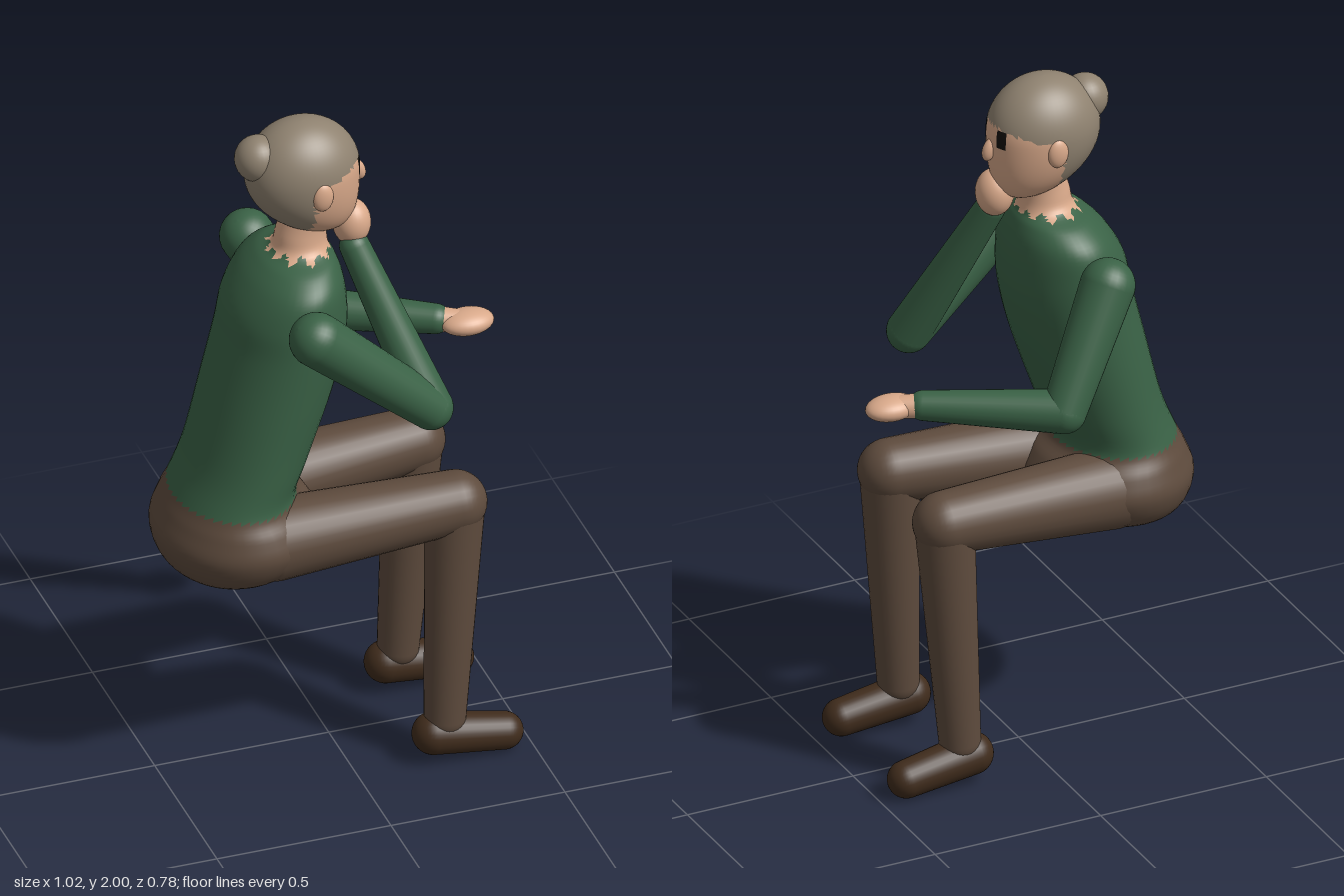
import * as THREE from 'three';

const MID = 0.03; // z of the body's own centre plane
const V = (x, y, z) => new THREE.Vector3(x, y, z);
const mat = (color) => new THREE.MeshStandardMaterial({ color });

export function createModel() {
  const model = new THREE.Group();
  const mats = {
    sweater: mat(0x3a6246), trousers: mat(0x5e4b3d), skin: mat(0xd9a98a),
    hair: mat(0x8f8270), shoe: mat(0x402c1c), eyes: mat(0x14100c),
  };

  const add = (name, geometry, material, parent = model) => {
    const mesh = new THREE.Mesh(geometry, material);
    mesh.name = name;
    parent.add(mesh);
    return mesh;
  };

  const ellipsoid = (name, material, c, r, parent) => {
    const mesh = add(name, new THREE.SphereGeometry(1, 28, 20), material, parent);
    mesh.position.copy(c);
    mesh.scale.copy(r);
    return mesh;
  };

  // Tapered limb with round ends, from a to b
  const limb = (name, material, a, b, ra, rb, parent) => {
    const len = a.distanceTo(b), pts = [], n = 10;
    for (let i = 0; i <= n; i++) {
      const t = (i / n) * Math.PI / 2;
      pts.push(new THREE.Vector2(ra * Math.sin(t), -ra * Math.cos(t)));
    }
    for (let i = 0; i <= n; i++) {
      const t = (i / n) * Math.PI / 2;
      pts.push(new THREE.Vector2(rb * Math.cos(t), len + rb * Math.sin(t)));
    }
    const mesh = add(name, new THREE.LatheGeometry(pts, 28), material, parent);
    mesh.position.copy(a);
    mesh.quaternion.setFromUnitVectors(V(0, 1, 0), b.clone().sub(a).normalize());
    return mesh;
  };

  // Divides one smooth surface into named colour zones, triangle by triangle
  const zones = (geometry, classify, names) => {
    const pos = geometry.attributes.position, idx = geometry.index.array, lists = {};
    for (let i = 0; i < idx.length; i += 3) {
      const c = V(0, 0, 0);
      for (let k = 0; k < 3; k++) c.add(V(0, 0, 0).fromBufferAttribute(pos, idx[i + k]));
      (lists[classify(c.divideScalar(3))] ??= []).push(idx[i], idx[i + 1], idx[i + 2]);
    }
    for (const key in lists) {
      const part = geometry.clone();
      part.setIndex(lists[key]);
      add(names[key], part, mats[key]);
    }
  };

  // Hips, torso and neck: elliptical sections [y, centre x, radius x, radius z]
  const sections = [
    [0.61, -0.32, 0.002, 0.002], [0.625, -0.315, 0.09, 0.11], [0.68, -0.295, 0.187, 0.22],
    [0.76, -0.28, 0.23, 0.265], [0.83, -0.282, 0.205, 0.25], [0.89, -0.29, 0.168, 0.22],
    [1.0, -0.25, 0.165, 0.214], [1.2, -0.19, 0.175, 0.216], [1.35, -0.153, 0.174, 0.218],
    [1.45, -0.14, 0.165, 0.218], [1.53, -0.123, 0.137, 0.205], [1.58, -0.108, 0.106, 0.155],
    [1.61, -0.095, 0.078, 0.085], [1.66, -0.09, 0.07, 0.068], [1.74, -0.07, 0.066, 0.066],
  ];
  const spine = new THREE.CatmullRomCurve3(sections.map((s) => V(s[1], s[0], s[2])), false, 'catmullrom');
  const width = new THREE.CatmullRomCurve3(sections.map((s) => V(s[3], 0, 0)), false, 'catmullrom');
  const rings = 84, sides = 44, verts = [], faces = [];
  for (let j = 0; j <= rings; j++) {
    const s = spine.getPoint(j / rings), rz = width.getPoint(j / rings).x;
    for (let i = 0; i < sides; i++) {
      const a = (i / sides) * Math.PI * 2;
      verts.push(s.x + s.z * Math.cos(a), s.y, MID + rz * Math.sin(a));
      if (j === rings) continue;
      const p = j * sides + i, q = j * sides + (i + 1) % sides;
      faces.push(p, p + sides, q, q, p + sides, q + sides);
    }
  }
  const body = new THREE.BufferGeometry();
  body.setAttribute('position', new THREE.Float32BufferAttribute(verts, 3));
  body.setIndex(faces);
  body.computeVertexNormals();
  zones(body, (c) => {
    if (c.y < 0.885) return 'trousers';
    const collar = 1.605 + 0.008 * Math.sin(Math.atan2(c.z - MID, c.x + 0.095) * 11);
    return c.y < collar ? 'sweater' : 'skin';
  }, { trousers: 'hips', sweater: 'torso', skin: 'neck' });

  // Head: an egg whose lower half is longer and pushed forward to the chin
  const head = new THREE.SphereGeometry(1, 52, 40);
  const hp = head.attributes.position;
  for (let i = 0; i < hp.count; i++) {
    const x = hp.getX(i), y = hp.getY(i), z = hp.getZ(i), low = Math.max(0, -y);
    hp.setXYZ(i, -0.088 + 0.161 * x + 0.065 * low * low, 1.845 + (y > 0 ? 0.155 : 0.195) * y, MID + 0.132 * z);
  }
  head.computeVertexNormals();
  zones(head, (c) => {
    const side = Math.abs(c.z - MID);
    if (c.x > 0 && Math.abs(c.y - 1.857) < 0.024 && Math.abs(side - 0.045) < 0.017) return 'eyes';
    const hairline = c.x < -0.09 ? 1.69 : 1.84 + 0.3 * (c.x + 0.09);
    return c.y > hairline ? 'hair' : 'skin';
  }, { eyes: 'eyes', hair: 'hair', skin: 'face' });
  ellipsoid('hairBun', mats.hair, V(-0.215, 1.905, MID), V(0.064, 0.066, 0.064));
  const nose = ellipsoid('nose', mats.skin, V(0.073, 1.81, MID), V(0.02, 0.034, 0.018));
  nose.rotation.z = 0.35;

  // Legs and ears, mirrored about the body's centre plane
  for (const s of [1, -1]) {
    const side = s > 0 ? 'right' : 'left';
    const leg = new THREE.Group();
    leg.name = side + 'Leg';
    model.add(leg);
    const hip = V(-0.22, 0.768, MID + s * 0.14);
    const knee = V(0.292, 0.797, MID + s * 0.168);
    const ankle = V(0.256, 0.13, MID + s * 0.188);
    limb('thigh', mats.trousers, hip, knee, 0.115, 0.088, leg);
    limb('shin', mats.trousers, knee, ankle, 0.083, 0.058, leg);
    limb('shoe', mats.shoe, V(0.222, 0.084, MID + s * 0.192), V(0.422, 0.054, MID + s * 0.198), 0.06, 0.053, leg);
    ellipsoid('ear', mats.skin, V(-0.072, 1.823, MID + s * 0.125), V(0.03, 0.043, 0.018));
  }

  // Arms: one hand raised to the chin, the other held out
  const arms = [
    { name: 'raisedArm', shoulder: V(-0.145, 1.475, 0.31), elbow: V(0.195, 1.165, 0.275), wrist: V(0.045, 1.6, 0.082),
      hand: V(0.046, 1.662, 0.054), size: V(0.053, 0.068, 0.056) },
    { name: 'extendedArm', shoulder: V(-0.145, 1.475, -0.25), elbow: V(0.025, 1.166, -0.328), wrist: V(0.355, 1.17, -0.135),
      hand: V(0.434, 1.166, -0.1), size: V(0.075, 0.034, 0.053) },
  ];
  for (const a of arms) {
    const arm = new THREE.Group();
    arm.name = a.name;
    model.add(arm);
    limb('upperArm', mats.sweater, a.shoulder, a.elbow, 0.076, 0.062, arm);
    limb('forearm', mats.sweater, a.elbow, a.wrist, 0.062, 0.042, arm);
    limb('wrist', mats.skin, a.wrist, a.hand, 0.036, 0.03, arm);
    ellipsoid('hand', mats.skin, a.hand, a.size, arm);
  }

  return model;
}
